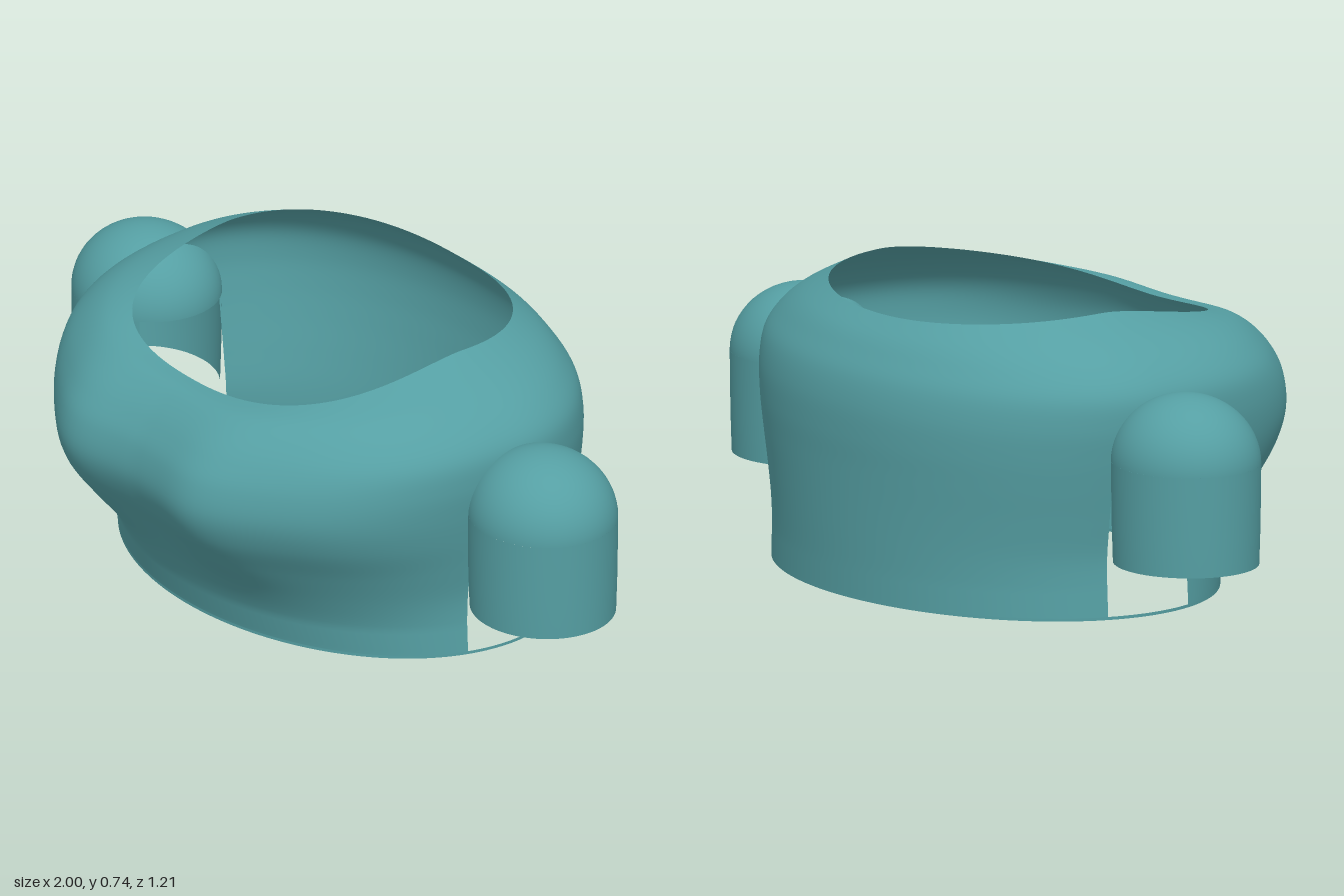
import * as THREE from 'three';

const material = new THREE.MeshStandardMaterial({ color: 0x559fa3, side: THREE.DoubleSide });
const CENTRE_Z = -0.1;

// Shell levels: side y, back y, front y, half width, back depth, front depth, front squareness, chest bulge
const LEVELS = [
  [0, 0, 0, 0.67, 0.497, 0.5, 2, 0],
  [0.008, 0.008, 0.008, 0.67, 0.497, 0.5, 2, 0],
  [0.08, 0.08, 0.08, 0.664, 0.498, 0.52, 2, 0],
  [0.16, 0.16, 0.16, 0.662, 0.5, 0.555, 2.1, 0.008],
  [0.25, 0.25, 0.25, 0.675, 0.502, 0.605, 2.2, 0.03],
  [0.34, 0.34, 0.34, 0.69, 0.504, 0.658, 2.35, 0.04],
  [0.42, 0.42, 0.42, 0.703, 0.506, 0.682, 2.4, 0.042],
  [0.5, 0.5, 0.5, 0.712, 0.502, 0.668, 2.4, 0.04],
  [0.575, 0.57, 0.56, 0.705, 0.485, 0.632, 2.4, 0.035],
  [0.635, 0.625, 0.605, 0.66, 0.453, 0.59, 2.45, 0.028],
  [0.69, 0.668, 0.635, 0.58, 0.42, 0.545, 2.6, 0.015],
  [0.745, 0.71, 0.64, 0.465, 0.37, 0.495, 2.9, 0],
];
const HOLE_FROM = 1, HOLE_TO = 6; // levels spanned by the arm openings
const STEPS = 6;                  // rows between levels

// Catmull-Rom blend between levels
function levelAt(i, t) {
  const at = (k) => LEVELS[THREE.MathUtils.clamp(k, 0, LEVELS.length - 1)];
  const [p, q, r, s] = [at(i - 1), at(i), at(i + 1), at(i + 2)];
  if (i < 2) return q.map((v, k) => v + (r[k] - v) * t);
  return q.map((v, k) => v + 0.5 * t * (r[k] - p[k]
    + t * (2 * p[k] - 5 * v + 4 * r[k] - s[k] + t * (3 * (v - r[k]) + s[k] - p[k]))));
}

// Point on the shell at an angle measured from the front
function shellPoint([ySide, yBack, yFront, w, back, front, square, bulge], a) {
  const s = Math.sin(a), c = Math.cos(a);
  const n = c > 0 ? square : 2 + (square - 2) * 0.25;
  const r = (Math.abs(s / w) ** n + Math.abs(c / (c > 0 ? front : back)) ** n) ** (-1 / n);
  const x = r * s;
  const chest = c > 0 ? bulge * Math.min(1, c * 2) * Math.exp(-(((Math.abs(x) - 0.25) / 0.14) ** 2)) : 0;
  const y = ySide + ((c > 0 ? yFront : yBack) - ySide) * Math.abs(c) ** 1.5;
  return [x, y, CENTRE_Z + r * c + chest];
}

// Columns line up with the edges of the arm openings
function buildColumns() {
  const f = Math.PI / 2 - 0.183, b = Math.PI / 2 + 0.197;
  const sectors = [
    [-f, f, 72, false], [f, b, 10, true],
    [b, 2 * Math.PI - b, 64, false], [2 * Math.PI - b, 2 * Math.PI - f, 10, true],
  ];
  const columns = [];
  for (const [from, to, count, hole] of sectors)
    for (let i = 0; i < count; i++) columns.push({ a: from + ((to - from) * i) / count, hole });
  return columns;
}

function buildShell() {
  const columns = buildColumns(), n = columns.length;
  const rows = (LEVELS.length - 1) * STEPS;
  const positions = [], indices = [];
  for (let j = 0; j <= rows; j++) {
    const i = Math.min(Math.floor(j / STEPS), LEVELS.length - 2);
    const level = levelAt(i, j / STEPS - i);
    for (const { a } of columns) positions.push(...shellPoint(level, a));
  }
  for (let j = 0; j < rows; j++) {
    const inHole = j >= HOLE_FROM * STEPS && j < HOLE_TO * STEPS;
    for (let i = 0; i < n; i++) {
      if (inHole && columns[i].hole) continue;
      const p = j * n + i, q = j * n + ((i + 1) % n);
      indices.push(p, q, q + n, p, q + n, p + n);
    }
  }
  const geometry = new THREE.BufferGeometry();
  geometry.setAttribute('position', new THREE.Float32BufferAttribute(positions, 3));
  geometry.setIndex(indices);
  geometry.computeVertexNormals();
  return geometry;
}

// Shoulder cap: dome over a sleeve that is open towards the body
function buildShoulder(side) {
  const shoulder = new THREE.Group();
  const dome = new THREE.Mesh(
    new THREE.SphereGeometry(0.185, 48, 16, 0, Math.PI * 2, 0, Math.PI / 2), material);
  dome.name = 'shoulderDome';
  dome.scale.y = 0.95;
  dome.position.y = 0.42;

  const gap = 0.8;
  const profile = [[0.18, 0.16], [0.183, 0.26], [0.185, 0.42]].map(([r, y]) => new THREE.Vector2(r, y));
  const sleeve = new THREE.Mesh(
    new THREE.LatheGeometry(profile, 48, gap - Math.PI / 2, 2 * (Math.PI - gap)), material);
  sleeve.name = 'shoulderSleeve';

  shoulder.add(dome, sleeve);
  shoulder.scale.x = 1.07;
  shoulder.position.set(side * 0.802, 0, CENTRE_Z);
  shoulder.rotation.y = side > 0 ? 0 : Math.PI;
  shoulder.name = side > 0 ? 'leftShoulder' : 'rightShoulder';
  return shoulder;
}

export function createModel() {
  const model = new THREE.Group();
  model.name = 'torsoArmour';
  const shell = new THREE.Mesh(buildShell(), material);
  shell.name = 'torsoShell';
  model.add(shell, buildShoulder(1), buildShoulder(-1));
  return model;
}
